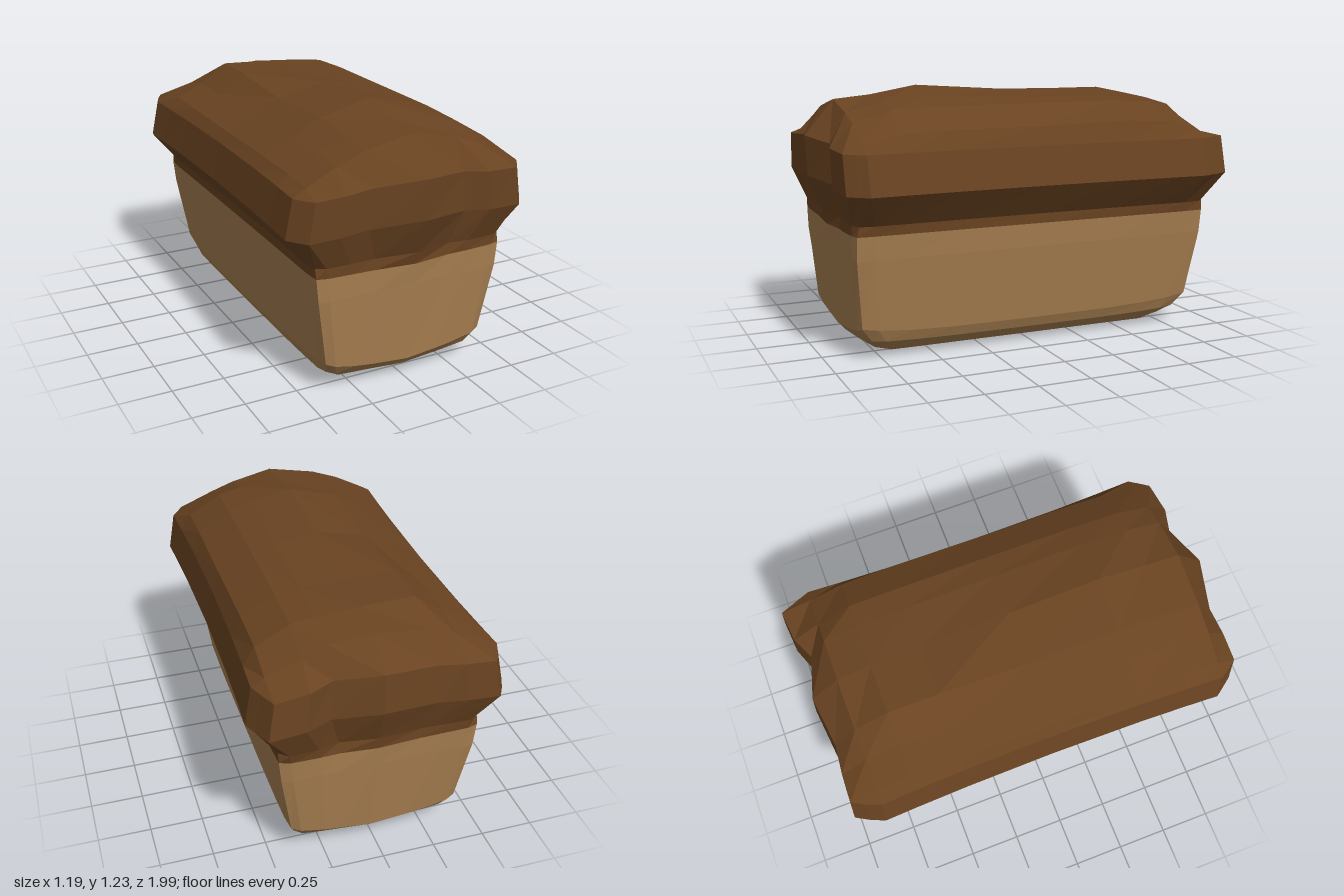
import * as THREE from 'three';

// Grid fractions across the width (U) and along the length (V)
const U = [-1, -0.88, -0.64, -0.4, 0.03, 0.4, 0.6, 0.88, 1];
const V = [-1, -0.87, -0.7, -0.45, 0, 0.47, 0.71, 0.895, 1];
const N = 8;

// Uneven bulges of the crust ends, one per column
const FRONT = [0, -0.01, -0.005, -0.015, 0.04, -0.025, 0.005, -0.01, 0];
const BACK = [0, 0.005, 0, -0.015, 0.015, -0.04, 0.01, 0.025, 0];

// Dome heights at the inner columns, one row per inner step from back to front
const DOME = [
  [1.0, 1.05, 1.1, 1.13, 1.11, 1.06, 1.0],
  [1.02, 1.08, 1.175, 1.165, 1.15, 1.135, 1.05],
  [1.02, 1.08, 1.175, 1.165, 1.16, 1.145, 1.06],
  [1.015, 1.08, 1.145, 1.195, 1.17, 1.145, 1.05],
  [1.015, 1.09, 1.16, 1.225, 1.18, 1.145, 1.05],
  [1.01, 1.08, 1.14, 1.185, 1.165, 1.135, 1.04],
  [1.0, 1.07, 1.12, 1.168, 1.12, 1.08, 1.0],
];

// Perimeter cells: front, right side, back, left side (counterclockwise from above)
const rim = [];
for (let i = 0; i < N; i++) rim.push([i, N]);
for (let k = N; k > 0; k--) rim.push([N, k]);
for (let i = N; i > 0; i--) rim.push([i, 0]);
for (let k = 0; k < N; k++) rim.push([0, k]);

// One outline point; corner pulls in the corners, wave scales the crust's unevenness,
// lift raises the corners, arch raises the middle of the two ends
function ringPoint(r, i, k) {
  const u = U[i], v = V[k];
  const isEnd = k === 0 || k === N, isSide = i === 0 || i === N;
  const c = isEnd && isSide ? r.corner : 1;
  let x = u * r.w * c, z = v * (v > 0 ? r.front : r.back) * c, y = r.y;
  if (isSide) x *= 1 - 0.05 * r.wave * (1 - v * v);
  if (k === N) z += FRONT[i] * r.wave;
  if (k === 0) z -= BACK[i] * r.wave;
  y += (r.lift || 0) * Math.pow(u * v, 4);
  if (isEnd) y += (r.arch || 0) * Math.pow(1 - Math.abs(u), 1.5);
  return new THREE.Vector3(x, y, z);
}

const ring = (r) => rim.map(([i, k]) => ringPoint(r, i, k));

function quad(out, a, b, c, d) {
  for (const p of [a, b, c, a, c, d]) out.push(p.x, p.y, p.z);
}

// Walls between successive outlines
function addWalls(out, levels) {
  for (let l = 0; l + 1 < levels.length; l++) {
    const a = ring(levels[l]), b = ring(levels[l + 1]);
    a.forEach((p, i) => {
      const j = (i + 1) % a.length;
      quad(out, p, a[j], b[j], b[i]);
    });
  }
}

// Grid surface closing an outline, facing up or down
function addCap(out, level, height, up) {
  const at = (i, k) => {
    const p = ringPoint(level, i, k);
    if (i > 0 && i < N && k > 0 && k < N) p.y = height(i, k);
    return p;
  };
  for (let i = 0; i < N; i++) {
    for (let k = 0; k < N; k++) {
      const a = at(i, k), b = at(i, k + 1), c = at(i + 1, k + 1), d = at(i + 1, k);
      if (up) quad(out, a, b, c, d);
      else quad(out, a, d, c, b);
    }
  }
}

function makeMesh(name, positions, material) {
  const g = new THREE.BufferGeometry();
  g.setAttribute('position', new THREE.Float32BufferAttribute(positions, 3));
  g.computeVertexNormals();
  const mesh = new THREE.Mesh(g, material);
  mesh.name = name;
  return mesh;
}

export function createModel() {
  const crumb = new THREE.MeshStandardMaterial({ color: 0xa67e50 });
  crumb.name = 'tan bread';
  const crust = new THREE.MeshStandardMaterial({ color: 0x694321 });
  crust.name = 'brown crust';

  // Outline where the tan base meets the crust
  const seam = { y: 0.592, w: 0.472, front: 0.893, back: 0.918, corner: 0.985, wave: 0.15, arch: -0.014 };

  // Tapered lower loaf with a rounded underside
  const base = [
    { y: 0.025, w: 0.34, front: 0.76, back: 0.755, corner: 0.94, wave: 0, lift: 0.015 },
    { y: 0.072, w: 0.387, front: 0.82, back: 0.825, corner: 0.97, wave: 0, lift: 0.015, arch: -0.025 },
    { y: 0.12, w: 0.408, front: 0.86, back: 0.87, corner: 0.985, wave: 0, lift: 0.035, arch: -0.03 },
    { y: 0.48, w: 0.459, front: 0.888, back: 0.91, corner: 0.99, wave: 0.05 },
    seam,
  ];
  const basePositions = [];
  addWalls(basePositions, base);
  addCap(basePositions, base[0], (i, k) => 0.02 * Math.pow(Math.max(Math.abs(U[i]), Math.abs(V[k])), 4), false);

  // Overhanging crust with a domed, uneven top
  const top = [
    seam,
    { y: 0.638, w: 0.48, front: 0.895, back: 0.92, corner: 0.97, wave: 0.5 },
    { y: 0.785, w: 0.6, front: 0.95, back: 0.975, corner: 0.94, wave: 0.9, arch: 0.03 },
    { y: 0.965, w: 0.567, front: 0.955, back: 0.96, corner: 0.94, wave: 1, arch: 0.04 },
  ];
  const topPositions = [];
  addWalls(topPositions, top);
  addCap(topPositions, top[3], (i, k) => DOME[k - 1][i - 1], true);

  const group = new THREE.Group();
  group.name = 'breadLoaf';
  group.add(makeMesh('loafBase', basePositions, crumb));
  group.add(makeMesh('loafCrust', topPositions, crust));
  return group;
}
